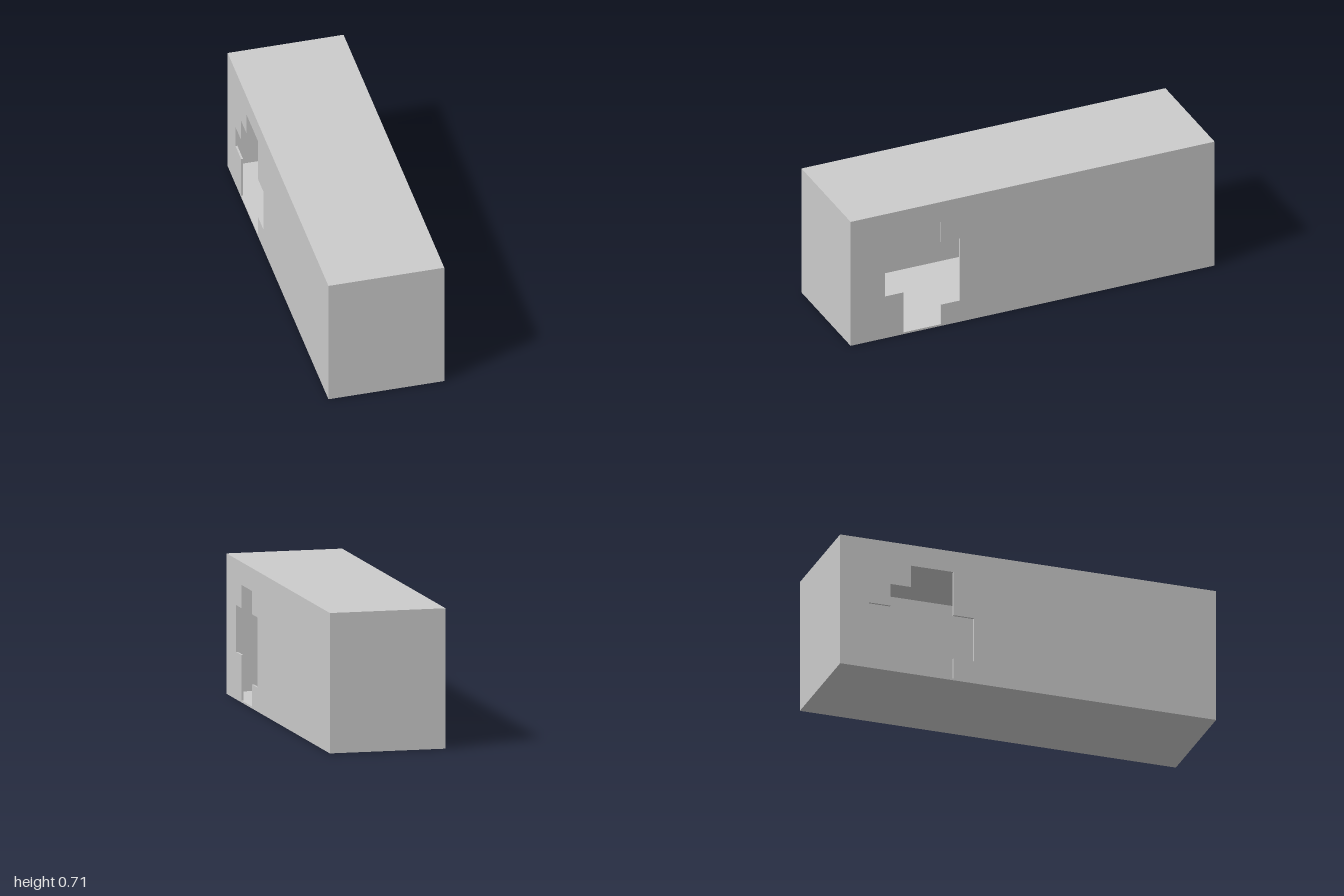
import * as THREE from 'three';

const W = 0.6, H = 0.712, L = 2, T = 0.01; // outer size and wall thickness

// Stepped openings as [z, y] corners
const leftOpening = [
  [0.71, T], [0.71, 0.24], [0.812, 0.24], [0.812, 0.478], [0.71, 0.478], [0.71, 0.596],
  [0.502, 0.596], [0.502, 0.478], [0.4, 0.478], [0.4, 0.122], [0.502, 0.122], [0.502, T],
];
const rightOpening = [
  [-0.733, T], [-0.733, 0.24], [-0.846, 0.24], [-0.846, 0.36], [-0.733, 0.36], [-0.733, 0.48],
  [-0.624, 0.48], [-0.624, 0.598], [-0.398, 0.598], [-0.398, 0.36], [-0.289, 0.36],
  [-0.289, 0.122], [-0.398, 0.122], [-0.398, T],
];

const toPoints = (corners) => corners.map(([u, v]) => new THREE.Vector2(u, v));

export function createModel() {
  const group = new THREE.Group();
  const material = new THREE.MeshStandardMaterial({ color: 0xcccccc, flatShading: true });

  const add = (name, geometry, x, y, z) => {
    const mesh = new THREE.Mesh(geometry, material);
    mesh.name = name;
    mesh.position.set(x, y, z);
    group.add(mesh);
  };

  // Long side walls, each cut by its opening
  const sideWall = (name, opening, outerX) => {
    const shape = new THREE.Shape(toPoints([[-L / 2, 0], [L / 2, 0], [L / 2, H], [-L / 2, H]]));
    shape.holes.push(new THREE.Path(toPoints(opening)));
    const geometry = new THREE.ExtrudeGeometry(shape, { depth: T, bevelEnabled: false });
    geometry.rotateY(-Math.PI / 2); // shape x becomes z, depth runs towards -x
    add(name, geometry, outerX, 0, 0);
  };
  sideWall('leftWall', leftOpening, W / 2);
  sideWall('rightWall', rightOpening, -W / 2 + T);

  // Floor and roof between the side walls
  const innerW = W - 2 * T;
  add('floor', new THREE.BoxGeometry(innerW, T, L), 0, T / 2, 0);
  add('roof', new THREE.BoxGeometry(innerW, T, L), 0, H - T / 2, 0);

  // End walls
  const end = new THREE.BoxGeometry(innerW, H - 2 * T, T);
  add('frontWall', end, 0, H / 2, L / 2 - T / 2);
  add('backWall', end, 0, H / 2, -L / 2 + T / 2);

  return group;
}
